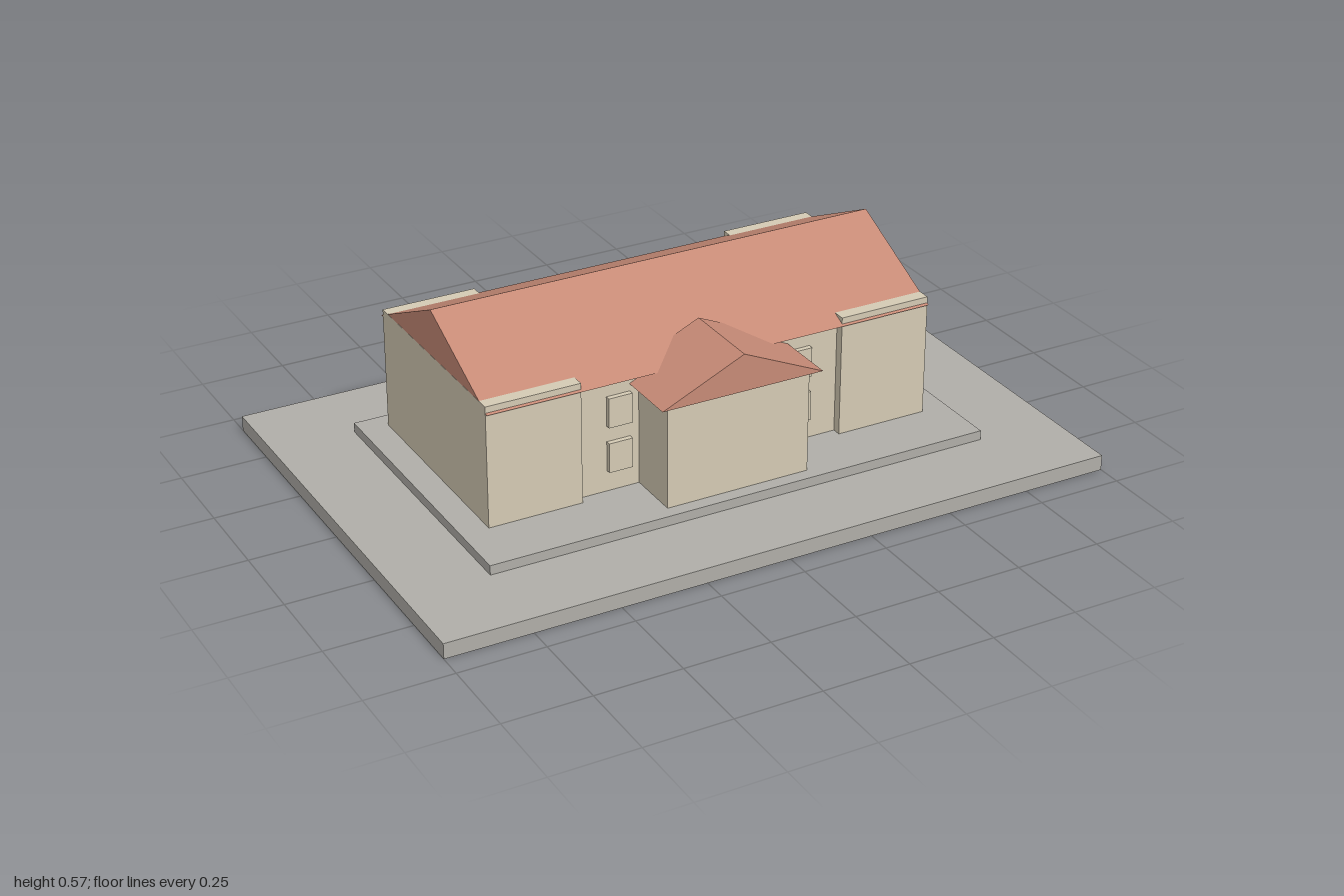
import * as THREE from 'three';

export function createModel() {
  const group = new THREE.Group();
  const material = (name, color) => {
    const m = new THREE.MeshStandardMaterial({ color });
    m.name = name;
    return m;
  };
  const stone = material('grey stone', 0xb0aea8);
  const wall = material('cream wall', 0xd4cab4);
  const tile = material('terracotta roof', 0xc68a76);

  const add = (name, geometry, mat) => {
    const mesh = new THREE.Mesh(geometry, mat);
    mesh.name = name;
    group.add(mesh);
    return mesh;
  };

  // Box given by its limits on each axis
  const box = (name, mat, [x0, x1], [y0, y1], [z0, z1]) => {
    const mesh = add(name, new THREE.BoxGeometry(x1 - x0, y1 - y0, z1 - z0), mat);
    mesh.position.set((x0 + x1) / 2, (y0 + y1) / 2, (z0 + z1) / 2);
    return mesh;
  };

  // Solid gable roof, extruded along z and centred on its own length
  const gable = (halfSpan, eave, ridge, length) => {
    const shape = new THREE.Shape([
      new THREE.Vector2(-halfSpan, eave),
      new THREE.Vector2(halfSpan, eave),
      new THREE.Vector2(0, ridge),
    ]);
    return new THREE.ExtrudeGeometry(shape, { depth: length, bevelEnabled: false })
      .translate(0, 0, -length / 2);
  };

  // Ground slab and raised plinth
  box('groundSlab', stone, [-1, 1], [0, 0.045], [-0.678, 0.678]);
  box('plinth', stone, [-0.757, 0.757], [0.045, 0.073], [-0.44, 0.44]);

  // Recessed central hall and projecting porch
  box('centralHall', wall, [-0.4, 0.4], [0.073, 0.412], [-0.36, 0.24]);
  box('porch', wall, [-0.216, 0.216], [0.073, 0.382], [0.2, 0.4]);

  // End wings, with two stacked window blocks beside each
  for (const side of [-1, 1]) {
    const span = (a, b) => (side > 0 ? [a, b] : [-b, -a]);
    box('endWing', wall, span(0.4, 0.677), [0.073, 0.432], [-0.384, 0.266]);
    for (const y of [0.135, 0.27]) {
      box('window', wall, span(0.242, 0.313), [y, y + 0.088], [0.23, 0.255]);
    }
  }

  // Main roof, ridge running along x
  const mainRoof = add('mainRoof', gable(0.335, 0.41, 0.57, 1.353), tile);
  mainRoof.rotation.y = Math.PI / 2;
  mainRoof.position.z = -0.061;

  // Porch roof, ridge running along z into the main roof
  const porchRoof = add('porchRoof', gable(0.244, 0.38, 0.49, 0.246), tile);
  porchRoof.position.z = 0.301;

  return group;
}
